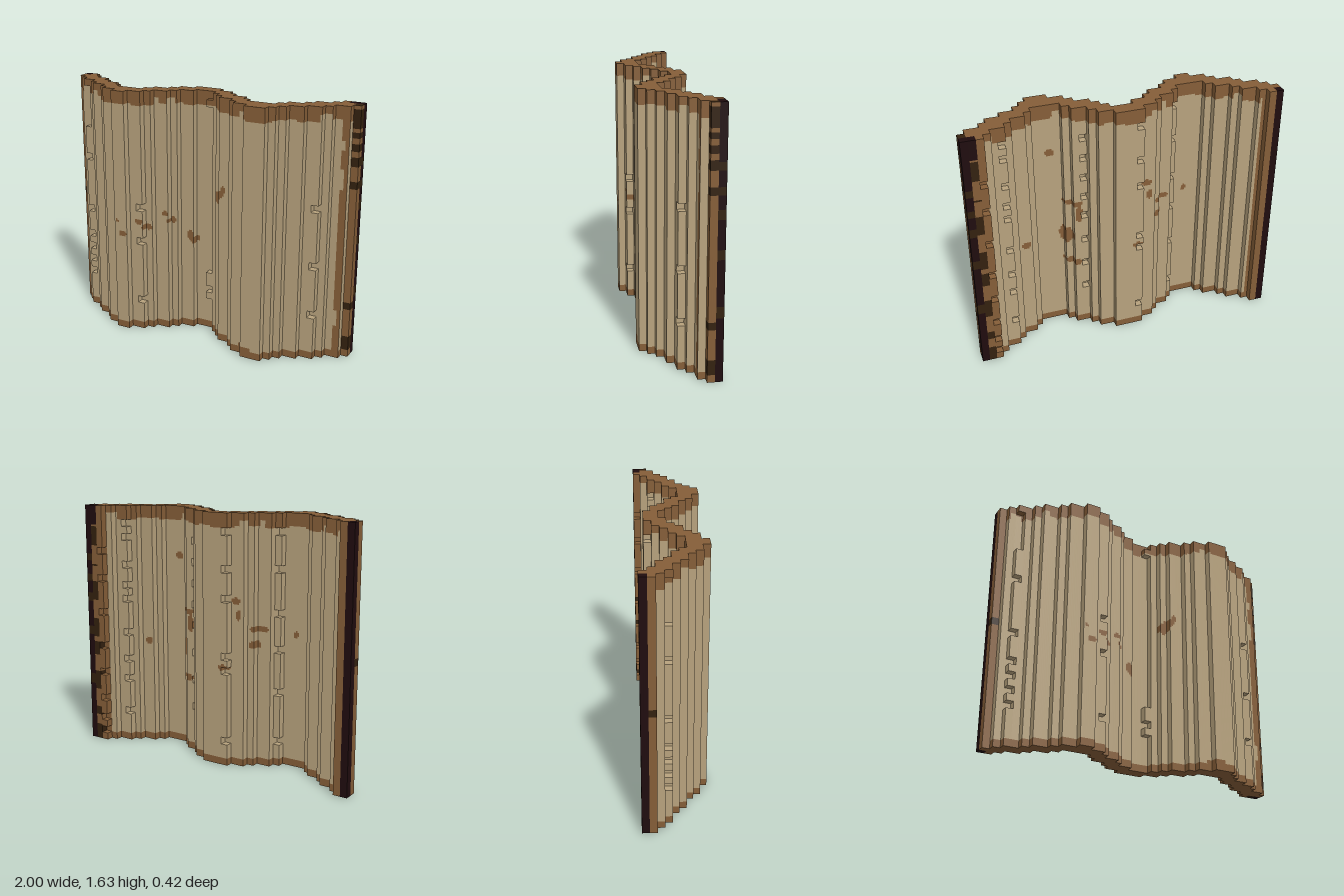
import * as THREE from 'three';

const COLS = 43, ROWS = 35, LAYERS = 9, S = 2 / COLS, Z0 = -LAYERS * S / 2;
const SUB = 4; // paint steps per block

// Zigzag plan: back and front layer of each block column
const BACK = '0012234456666' + '5443221111' + '2234456666' + '5443221000';
const FRONT = '1233455677887' + '7655433222' + '3455677888' + '7655443221';

// Single blocks cut from (or added to) the pleat edges: column -> rows
const frontNotch = { 2: [5, 7, 9, 11, 15, 23, 28, 29, 30, 31, 32, 33], 13: [4, 13, 18], 38: [6, 13, 21] };
const frontBump = { 22: [5, 7, 8, 33] };
const backNotch = {
  13: [3, 10, 16, 21, 27, 32], 19: [3, 13, 15, 23, 27, 32], 26: [6, 10, 14, 18, 21, 24, 27, 30],
  37: [4, 9, 12, 16, 21, 23, 26, 30, 32], 40: [1, 3, 6, 10, 14, 19, 24, 28],
};
const has = (table, i, j) => !!table[i] && table[i].includes(j);
const frontAt = (i, j) => +FRONT[i] - has(frontNotch, i, j) + has(frontBump, i, j);
const backAt = (i, j) => +BACK[i] + has(backNotch, i, j);
const solid = (i, j, k) =>
  i >= 0 && i < COLS && j >= 0 && j < ROWS && k >= backAt(i, j) && k <= frontAt(i, j);

// Worn spots: x, y, radius x, radius y
const frontSpots = [
  [-0.475, 0.68, 0.03, 0.02], [-0.515, 0.765, 0.01, 0.01], [-0.38, 0.765, 0.03, 0.018],
  [-0.33, 0.725, 0.025, 0.022], [-0.235, 0.815, 0.025, 0.018], [-0.195, 0.768, 0.025, 0.02],
  [-0.095, 0.665, 0.024, 0.035], [-0.07, 0.63, 0.028, 0.02], [0.14, 0.975, 0.028, 0.042],
  [0.165, 1.01, 0.03, 0.03], [0.19, 1.04, 0.02, 0.025],
];
const backSpots = [
  [0.62, 0.71, 0.03, 0.025], [0.3, 0.95, 0.06, 0.02], [0.27, 0.87, 0.025, 0.06], [0.34, 0.7, 0.04, 0.06],
  [0.3, 0.5, 0.06, 0.022], [0.42, 1.3, 0.03, 0.025], [-0.15, 1.08, 0.035, 0.02], [-0.17, 0.99, 0.02, 0.035],
  [-0.28, 0.9, 0.06, 0.018], [-0.25, 0.8, 0.035, 0.022], [-0.08, 0.65, 0.035, 0.02], [-0.48, 0.87, 0.02, 0.02],
];
const inSpot = (spots, x, y) =>
  spots.some(([a, b, rx, ry]) => ((x - a) / rx) ** 2 + ((y - b) / ry) ** 2 < 1);
const inRange = (ranges, v) => ranges.some(([a, b]) => v >= a && v <= b);

// Frayed places along the borders and charred places on the outer edge
const topGaps = [[-0.94, -0.87], [-0.77, -0.73], [-0.3, -0.27], [-0.21, -0.17], [0.35, 0.39], [0.8, 0.86]];
const rightGaps = [[0.22, 0.33], [1.12, 1.24], [1.36, 1.42]];
const charred = [[0.05, 0.14], [0.33, 0.37], [1.12, 1.16], [1.26, 1.31], [1.35, 1.4], [1.43, 1.47], [1.49, 1.6]];
const embers = [[0.4, 0.47], [0.74, 0.8], [0.98, 1.03], [1.12, 1.16], [1.26, 1.3]];

// Colour name of a surface point on block (i, k); side = faces along x
function paint(i, k, x, y, isFront, side) {
  if (i === 0) {
    if (k === 0) return 'black';
    return y > 0.79 && y < 0.84 ? 'darkBrown' : 'brown';
  }
  if (i === COLS - 1) {
    if (k === 0) return inRange(embers, y) ? 'darkBrown' : 'black';
    return inRange(charred, y) || y > ROWS * S - 0.001 ? 'darkBrown' : 'brown';
  }
  if (i === COLS - 2 && k === 0) {
    if (y > 1.5) return 'black';
    return Math.sin(y * 19) + Math.sin(y * 31 + 1) > 0 ? 'darkBrown' : 'brown';
  }
  const top = (inRange(topGaps, x) ? 1.58 : 1.54) + 0.005 * Math.sin(x * 23);
  const bottom = isFront && x > 0.36 && x < 0.46 ? 0.07 : 0.05;
  if (y > top || y < bottom) return 'brown';
  const sheltered = side && k > 1;
  if (!sheltered) {
    const right = isFront ? (inRange(rightGaps, y) ? 0.927 : 0.905) : 0.86;
    if (x > right || (!isFront && x < -0.88)) return 'brown';
  }
  return inSpot(isFront ? frontSpots : backSpots, x, y) ? 'brown' : 'tan';
}

export function createModel() {
  const faces = { tan: [], brown: [], darkBrown: [], black: [] };
  const quad = (name, a, b, c, d) => faces[name].push(...a, ...b, ...c, ...a, ...c, ...d);

  // One narrow vertical strip of a block column, joined into runs of one colour
  function strip(i, k, dx, dz, s) {
    const cx = -1 + (i + 0.5 + dx / 2) * S, cz = Z0 + (k + 0.5 + dz / 2) * S;
    const at = (t, y) => [cx + dz * t * S, y, cz - dx * t * S];
    const t0 = s / SUB - 0.5, t1 = (s + 1) / SUB - 0.5, h = S / SUB;
    const x = at((t0 + t1) / 2, 0)[0];
    let run = null, start = 0;
    for (let n = 0; n <= ROWS * SUB; n++) {
      const j = Math.floor(n / SUB);
      const open = solid(i, j, k) && !solid(i + dx, j, k + dz);
      const isFront = dz > 0 || (dz === 0 && k >= frontAt(i, j));
      const name = open ? paint(i, k, x, (n + 0.5) * h, isFront, dx !== 0) : null;
      if (name === run) continue;
      if (run) quad(run, at(t0, start * h), at(t1, start * h), at(t1, n * h), at(t0, n * h));
      run = name;
      start = n;
    }
  }

  for (let i = 0; i < COLS; i++) {
    for (let k = 0; k < LAYERS; k++) {
      // Upright faces
      for (const [dx, dz] of [[1, 0], [-1, 0], [0, 1], [0, -1]]) {
        for (let s = 0; s < SUB; s++) strip(i, k, dx, dz, s);
      }
      // Tops and undersides
      const x0 = -1 + i * S, x1 = x0 + S, z0 = Z0 + k * S, z1 = z0 + S;
      for (let j = 0; j < ROWS; j++) {
        if (!solid(i, j, k)) continue;
        const isFront = k >= frontAt(i, j), xm = x0 + S / 2;
        const y0 = j * S, y1 = y0 + S;
        if (!solid(i, j + 1, k)) {
          quad(paint(i, k, xm, y1, isFront, true), [x0, y1, z1], [x1, y1, z1], [x1, y1, z0], [x0, y1, z0]);
        }
        if (!solid(i, j - 1, k)) {
          quad(paint(i, k, xm, y0, isFront, true), [x0, y0, z0], [x1, y0, z0], [x1, y0, z1], [x0, y0, z1]);
        }
      }
    }
  }

  // One mesh for each painted part of the screen
  const parts = {
    tan: ['pleatedPanels', 0xb7a27d], brown: ['wornBorder', 0x855e38],
    darkBrown: ['charredPatches', 0x33210f], black: ['outerEdges', 0x1f0c0e],
  };
  const group = new THREE.Group();
  group.name = 'foldingScreen';
  for (const [name, [part, color]] of Object.entries(parts)) {
    const geometry = new THREE.BufferGeometry();
    geometry.setAttribute('position', new THREE.Float32BufferAttribute(faces[name], 3));
    geometry.computeVertexNormals();
    const material = new THREE.MeshStandardMaterial({ color });
    material.name = name;
    const mesh = new THREE.Mesh(geometry, material);
    mesh.name = part;
    group.add(mesh);
  }
  return group;
}
